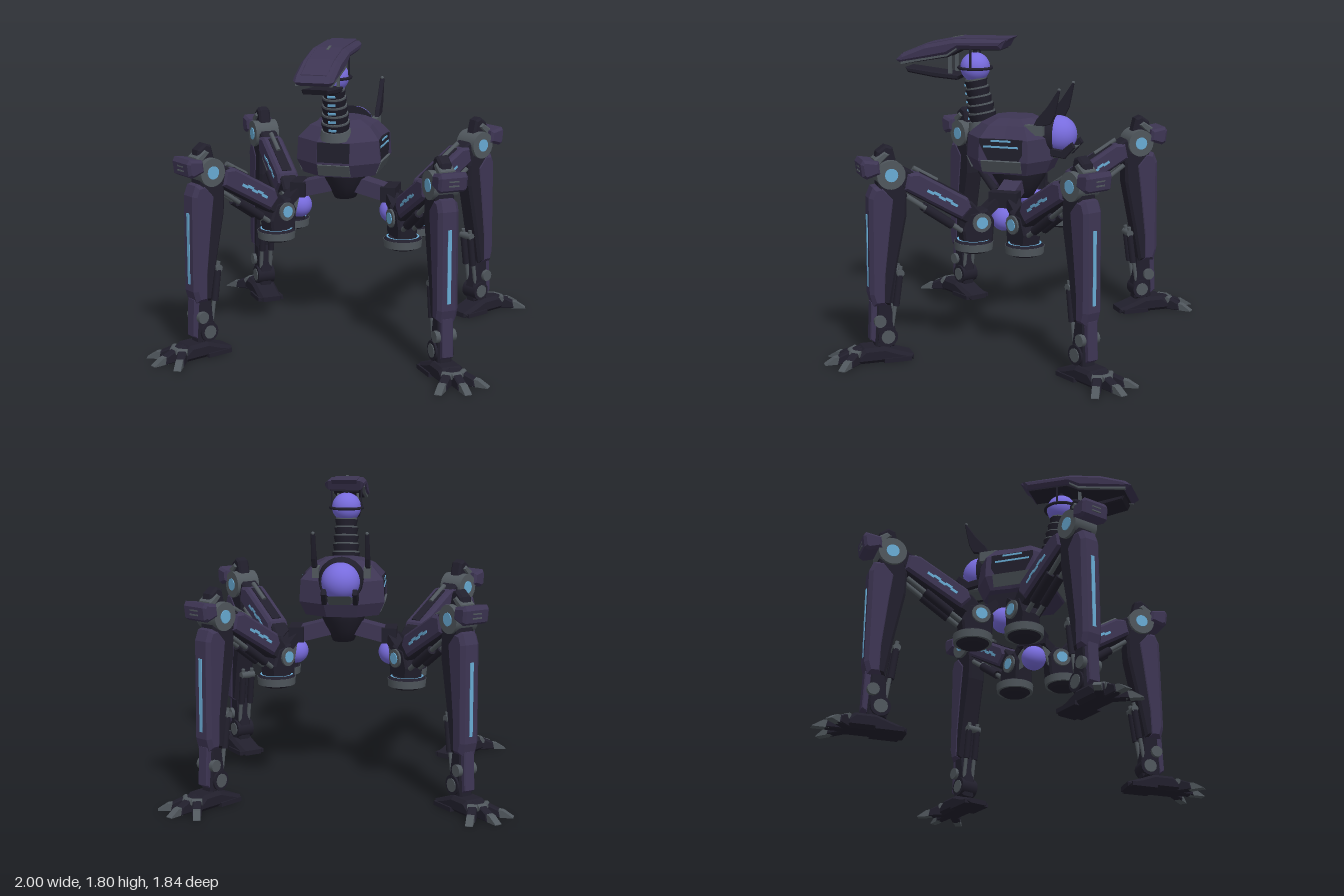
import * as THREE from 'three';

const mat = (name, color) => Object.assign(new THREE.MeshStandardMaterial({ color }), { name });
const purple = mat('purple armour', 0x3d3553);
const dark = mat('dark frame', 0x211f2c);
const grey = mat('grey metal', 0x50575d);
const cyan = mat('cyan light', 0x68abd4);
const violet = mat('violet orb', 0x786cde);

function add(parent, name, geo, material, x = 0, y = 0, z = 0) {
  const m = new THREE.Mesh(geo, material);
  m.name = name;
  m.position.set(x, y, z);
  parent.add(m);
  return m;
}
const group = (parent, name, x = 0, y = 0, z = 0) => {
  const g = new THREE.Group();
  g.name = name;
  g.position.set(x, y, z);
  parent.add(g);
  return g;
};
const box = (w, h, d) => new THREE.BoxGeometry(w, h, d);
const ball = (r) => new THREE.SphereGeometry(r, 32, 20);
// Cylinder lying along x
const axle = (r, len, n = 20) => new THREE.CylinderGeometry(r, r, len, n).rotateZ(Math.PI / 2);

// Side profile of [z, y] points, extruded across x with chamfered sides
function slab(points, width, bevel = 0.012) {
  const shape = new THREE.Shape(points.map(([z, y]) => new THREE.Vector2(z, y)));
  const geo = new THREE.ExtrudeGeometry(shape, {
    depth: width - 2 * bevel, bevelEnabled: bevel > 0, bevelThickness: bevel,
    bevelSize: bevel, bevelOffset: -bevel, bevelSegments: 1,
  });
  return geo.translate(0, 0, bevel - width / 2).rotateY(-Math.PI / 2);
}

// Straight bar between two points; a number gives a round rod, [w, h] a square one
function bar(parent, name, a, b, size, material) {
  const A = new THREE.Vector3(...a), B = new THREE.Vector3(...b), len = A.distanceTo(B);
  const geo = Array.isArray(size) ? box(size[0], size[1], len)
    : new THREE.CylinderGeometry(size, size, len, 10).rotateX(Math.PI / 2);
  const m = new THREE.Mesh(geo, material);
  m.name = name;
  m.position.copy(A).lerp(B, 0.5);
  m.lookAt(B);
  parent.add(m);
}

// Flat-faced loft of one plan outline, scaled at each [y, scale]
function loft(plan, rings) {
  const v = [], n = plan.length;
  const p = (r, i) => [plan[i % n][0] * rings[r][1], rings[r][0], plan[i % n][1] * rings[r][1] + 0.02];
  const last = rings.length - 1;
  for (let i = 0; i < n; i++) {
    for (let r = 0; r < last; r++) {
      const a = p(r, i), b = p(r, i + 1), c = p(r + 1, i + 1), d = p(r + 1, i);
      v.push(...a, ...b, ...c, ...a, ...c, ...d);
    }
    v.push(0, rings[0][0], 0.02, ...p(0, i + 1), ...p(0, i));
    v.push(0, rings[last][0], 0.02, ...p(last, i), ...p(last, i + 1));
  }
  const geo = new THREE.BufferGeometry();
  geo.setAttribute('position', new THREE.Float32BufferAttribute(v, 3));
  geo.computeVertexNormals();
  return geo;
}

function buildBody(root) {
  const g = group(root, 'body');
  const plan = [[-0.1, 0.27], [0.1, 0.27], [0.25, 0.15], [0.235, 0], [0.25, -0.15],
    [0.1, -0.25], [-0.1, -0.25], [-0.25, -0.15], [-0.235, 0], [-0.25, 0.15]];
  add(g, 'hull', loft(plan, [[1.02, 0.86], [1.1, 1], [1.23, 0.97], [1.3, 0.72], [1.335, 0.45]]), purple);
  // Belly cup
  const cup = [[0, 0.84], [0.065, 0.85], [0.095, 0.92], [0.125, 0.98], [0.135, 1.03]];
  add(g, 'belly cup', new THREE.LatheGeometry(cup.map((p) => new THREE.Vector2(...p)), 16), dark).scale.z = 1.3;
  // Front panels
  add(g, 'front panel', box(0.19, 0.115, 0.008), dark, 0, 1.17, 0.288).rotation.x = -0.062;
  add(g, 'front vent', box(0.19, 0.075, 0.008), grey, 0, 1.064, 0.276).rotation.x = 0.44;
  // Side panels and lights
  for (const s of [-1, 1]) {
    add(g, 'side panel', box(0.02, 0.125, 0.26), dark, s * 0.234, 1.17, 0.035);
    add(g, 'side vent', box(0.022, 0.075, 0.24), grey, s * 0.23, 1.072, 0.035).rotation.z = -s * 0.4;
    add(g, 'side light', box(0.008, 0.011, 0.21), cyan, s * 0.244, 1.187, 0.035);
    add(g, 'side light', box(0.008, 0.011, 0.12), cyan, s * 0.244, 1.222, 0.035);
    // Back spines
    add(g, 'spine', slab([[-0.13, 1.29], [-0.24, 1.32], [-0.265, 1.37], [-0.28, 1.44], [-0.295, 1.52],
      [-0.285, 1.52], [-0.22, 1.42], [-0.16, 1.35]], 0.026, 0.004), dark, s * 0.155);
    add(g, 'spine tip', ball(0.01), grey, s * 0.155, 1.522, -0.289);
    add(g, 'spine foot', box(0.04, 0.06, 0.11), grey, s * 0.15, 1.28, -0.14);
    // Orb claws
    add(g, 'orb claw', slab([[-0.17, 1.13], [-0.31, 1.11], [-0.37, 1.18], [-0.35, 1.21], [-0.29, 1.16],
      [-0.17, 1.18]], 0.03, 0.005), dark, s * 0.09);
  }
  // Rear orb in its socket
  add(g, 'rear orb', ball(0.112), violet, 0, 1.237, -0.242);
  const socket = add(g, 'orb socket', new THREE.CylinderGeometry(0.122, 0.14, 0.08, 20), dark, 0, 1.23, -0.195);
  socket.rotation.x = -Math.PI / 2;
  add(g, 'orb cradle', slab([[-0.2, 1.1], [-0.3, 1.11], [-0.36, 1.17], [-0.3, 1.16], [-0.2, 1.15]], 0.14), grey);
  // Hip arms with orbs
  for (const s of [-1, 1]) {
    bar(g, 'hip arm', [s * 0.05, 0.94, 0], [s * 0.3, 0.875, 0], [0.11, 0.09], purple);
    add(g, 'hip cap', box(0.09, 0.09, 0.17), dark, s * 0.275, 0.89, 0);
    add(g, 'hip orb', ball(0.075), violet, s * 0.285, 0.78, 0);
    for (const t of [-1, 1]) {
      bar(g, 'hip strut', [s * 0.28, 0.92, t * 0.05], [s * 0.31, 0.7, t * 0.11], [0.03, 0.035], grey);
      bar(g, 'hip brace', [s * 0.29, 0.88, t * 0.05], [s * 0.36, 0.79, t * 0.13], [0.08, 0.05], dark);
    }
  }
}

function buildNeckAndHead(root) {
  const neck = group(root, 'neck', 0, 1.26, 0.213);
  neck.rotation.x = 0.19;
  add(neck, 'neck collar', new THREE.CylinderGeometry(0.085, 0.1, 0.05, 16), grey, 0, 0.015, 0);
  for (let i = 0; i < 5; i++) {
    const r = 0.085 - i * 0.004, y = 0.06 + i * 0.05;
    add(neck, 'neck segment', new THREE.CylinderGeometry(r, r - 0.01, 0.042, 16), dark, 0, y, 0);
    add(neck, 'neck ring', new THREE.CylinderGeometry(r - 0.005, r - 0.005, 0.012, 16), grey, 0, y + 0.025, 0);
    add(neck, 'neck light', box(0.045, 0.013, 0.008), cyan, 0, y, r - 0.003);
  }
  const head = group(root, 'head');
  add(head, 'head orb', ball(0.088), violet, 0, 1.612, 0.27);
  add(head, 'orb ring', new THREE.TorusGeometry(0.098, 0.009, 6, 32).rotateX(Math.PI / 2), dark, 0, 1.61, 0.27);
  add(head, 'orb post', new THREE.CylinderGeometry(0.012, 0.012, 0.1, 8), dark, 0, 1.7, 0.27);
  for (const s of [-1, 1]) add(head, 'orb strap', box(0.008, 0.13, 0.012), dark, s * 0.09, 1.67, 0.27);
  // Long swept helmet
  add(head, 'helmet', slab([[0.735, 1.65], [0.7, 1.685], [0.55, 1.745], [0.36, 1.785], [0.05, 1.79],
    [0.08, 1.735], [0.34, 1.73], [0.41, 1.69], [0.7, 1.63]], 0.23, 0.02), purple);
  add(head, 'helmet ridge', slab([[0.7, 1.69], [0.55, 1.752], [0.36, 1.792], [0.03, 1.798], [0.06, 1.77],
    [0.36, 1.77], [0.55, 1.73], [0.7, 1.67]], 0.15, 0.004), purple);
  add(head, 'helmet underside', slab([[0.69, 1.645], [0.4, 1.7], [0.34, 1.74], [0.09, 1.745], [0.09, 1.725],
    [0.33, 1.72], [0.41, 1.675], [0.69, 1.625]], 0.17, 0.004), dark);
  add(head, 'crest seam', box(0.014, 0.008, 0.065), grey, 0, 1.789, 0.375).rotation.x = 0.2;
  for (const s of [-1, 1]) {
    add(head, 'helmet edge', slab([[0.7, 1.64], [0.41, 1.695], [0.35, 1.735], [0.35, 1.725], [0.41, 1.683],
      [0.7, 1.626]], 0.016, 0), grey, s * 0.098);
    add(head, 'jaw hinge', box(0.015, 0.13, 0.02), grey, s * 0.06, 1.63, 0.405);
  }
  add(head, 'jaw', slab([[0.685, 1.605], [0.67, 1.575], [0.5, 1.55], [0.36, 1.54], [0.34, 1.57],
    [0.52, 1.588]], 0.15, 0.008), dark);
}

// Leg along local +z, with its hip at z = 0
function buildLeg(root, sx, sz) {
  const leg = group(root, (sz > 0 ? 'front' : 'back') + (sx > 0 ? 'Left' : 'Right') + 'Leg', sx * 0.367, 0, sz * 0.13);
  leg.rotation.y = Math.atan2(0.59 * sx, 0.81 * sz);
  // Hip joint over a round weight with a lit rim
  add(leg, 'hip weight', new THREE.CylinderGeometry(0.114, 0.11, 0.045, 24), grey, 0, 0.634, 0.03);
  add(leg, 'weight base', new THREE.CylinderGeometry(0.095, 0.075, 0.016, 24), dark, 0, 0.604, 0.03);
  add(leg, 'weight cover', new THREE.CylinderGeometry(0.098, 0.112, 0.012, 24), dark, 0, 0.662, 0.03);
  add(leg, 'weight light', new THREE.RingGeometry(0.086, 0.097, 24).rotateX(-Math.PI / 2), cyan, 0, 0.67, 0.03);
  add(leg, 'hip housing', slab([[-0.07, 0.65], [0.1, 0.65], [0.11, 0.73], [0.07, 0.83], [-0.04, 0.85],
    [-0.08, 0.78]], 0.12), dark);
  add(leg, 'hip axle', axle(0.055, 0.145), grey, 0, 0.775, 0);
  add(leg, 'hip light', axle(0.034, 0.155), cyan, 0, 0.775, 0);

  // Thigh, tilted up to the knee
  const thigh = group(leg, 'thigh', 0, 0.78, 0);
  thigh.rotation.x = -Math.atan2(0.31, 0.53);
  add(thigh, 'thigh core', slab([[0.04, -0.05], [0.02, 0.05], [0.1, 0.075], [0.55, 0.07], [0.58, 0],
    [0.5, -0.045]], 0.11), dark);
  add(thigh, 'thigh armour', slab([[0.11, -0.04], [0.09, 0.045], [0.14, 0.084], [0.47, 0.084], [0.53, 0.05],
    [0.5, -0.04]], 0.135, 0.015), purple);
  add(thigh, 'thigh top vent', box(0.06, 0.008, 0.3), dark, 0, 0.085, 0.31);
  bar(thigh, 'thigh top rod', [0, 0.09, 0.34], [0, 0.09, 0.5], 0.014, grey);
  for (const s of [-1, 1]) {
    // Light made of staggered dashes
    for (let i = 0; i < 5; i++) {
      add(thigh, 'thigh light', box(0.006, 0.016, 0.045), cyan, s * 0.067, 0.017 + (i % 2) * 0.008, 0.2 + i * 0.04);
    }
    bar(thigh, 'thigh piston', [s * 0.035, -0.1, 0.07], [s * 0.035, -0.07, 0.46], 0.014, grey);
    bar(thigh, 'piston sleeve', [s * 0.035, -0.095, 0.14], [s * 0.035, -0.08, 0.33], 0.026, dark);
  }

  // Knee joint, guard and top knob
  add(leg, 'knee axle', axle(0.082, 0.15, 24), grey, 0, 1.09, 0.53);
  add(leg, 'knee light', axle(0.038, 0.16, 16), cyan, 0, 1.09, 0.53);
  add(leg, 'knee knob', slab([[0.48, 1.12], [0.51, 1.24], [0.55, 1.255], [0.6, 1.22], [0.62, 1.1]], 0.075), dark);
  add(leg, 'knee cap', slab([[0.53, 1.2], [0.56, 1.22], [0.62, 1.18], [0.62, 1.12]], 0.095, 0.008), grey);
  add(leg, 'knee guard', slab([[0.6, 1.17], [0.69, 1.185], [0.705, 1.16], [0.695, 1.09], [0.67, 1.075],
    [0.59, 1.1]], 0.175, 0.015), purple);
  for (const y of [1.115, 1.14]) add(leg, 'guard slot', box(0.06, 0.008, 0.008), grey, 0, y, 0.7);

  // Shin
  add(leg, 'shin core', slab([[0.45, 1.04], [0.6, 1.06], [0.6, 0.34], [0.54, 0.33], [0.5, 0.55], [0.44, 0.84],
    [0.435, 0.97]], 0.115, 0.015), dark);
  add(leg, 'shin armour', slab([[0.57, 1.03], [0.63, 1.02], [0.655, 0.96], [0.66, 0.4], [0.64, 0.33],
    [0.56, 0.33], [0.555, 0.5], [0.52, 0.8], [0.5, 0.95]], 0.125, 0.022), purple);
  add(leg, 'shin light', box(0.022, 0.42, 0.008), cyan, 0, 0.65, 0.658);
  for (const s of [-1, 1]) {
    bar(leg, 'shin piston', [s * 0.03, 0.55, 0.475], [s * 0.03, 0.2, 0.53], 0.012, grey);
    bar(leg, 'shin piston sleeve', [s * 0.03, 0.5, 0.48], [s * 0.03, 0.32, 0.505], 0.02, dark);
  }
  add(leg, 'piston mount', axle(0.022, 0.09, 12), grey, 0, 0.51, 0.478);

  // Ankle
  add(leg, 'ankle core', slab([[0.54, 0.36], [0.62, 0.36], [0.63, 0.08], [0.52, 0.08], [0.51, 0.17]], 0.085), dark);
  add(leg, 'ankle shield', slab([[0.61, 0.35], [0.65, 0.35], [0.66, 0.13], [0.63, 0.11]], 0.07, 0.006), purple);
  add(leg, 'ankle hinge', axle(0.035, 0.125, 12), grey, 0, 0.24, 0.605);
  add(leg, 'ankle axle', axle(0.058, 0.11, 16), dark, 0, 0.145, 0.56);
  add(leg, 'ankle bolt', axle(0.04, 0.12, 12), grey, 0, 0.145, 0.56);

  // Foot with three toes
  add(leg, 'heel', slab([[0.41, 0], [0.41, 0.03], [0.5, 0.06], [0.58, 0.09], [0.7, 0.09], [0.75, 0.05],
    [0.75, 0]], 0.15, 0.02), dark);
  add(leg, 'heel pad', box(0.17, 0.025, 0.16), dark, 0, 0.013, 0.51);
  for (const a of [-0.77, 0, 0.77]) {
    const toe = group(leg, 'toe', 0, 0, 0.7);
    toe.rotation.y = a;
    add(toe, 'toe knuckle', slab([[0, 0], [0, 0.085], [0.07, 0.075], [0.14, 0.045], [0.15, 0]], 0.052, 0.006), dark);
    add(toe, 'toe joint', axle(0.02, 0.058, 10), grey, 0, 0.06, 0.065);
    add(toe, 'toe tip', slab([[0.13, 0], [0.13, 0.045], [0.165, 0.04], [0.222, 0.004], [0.222, 0]], 0.042, 0), grey);
  }
}

export function createModel() {
  const root = new THREE.Group();
  root.name = 'walker';
  buildBody(root);
  buildNeckAndHead(root);
  for (const sx of [-1, 1]) for (const sz of [-1, 1]) buildLeg(root, sx, sz);
  return root;
}
